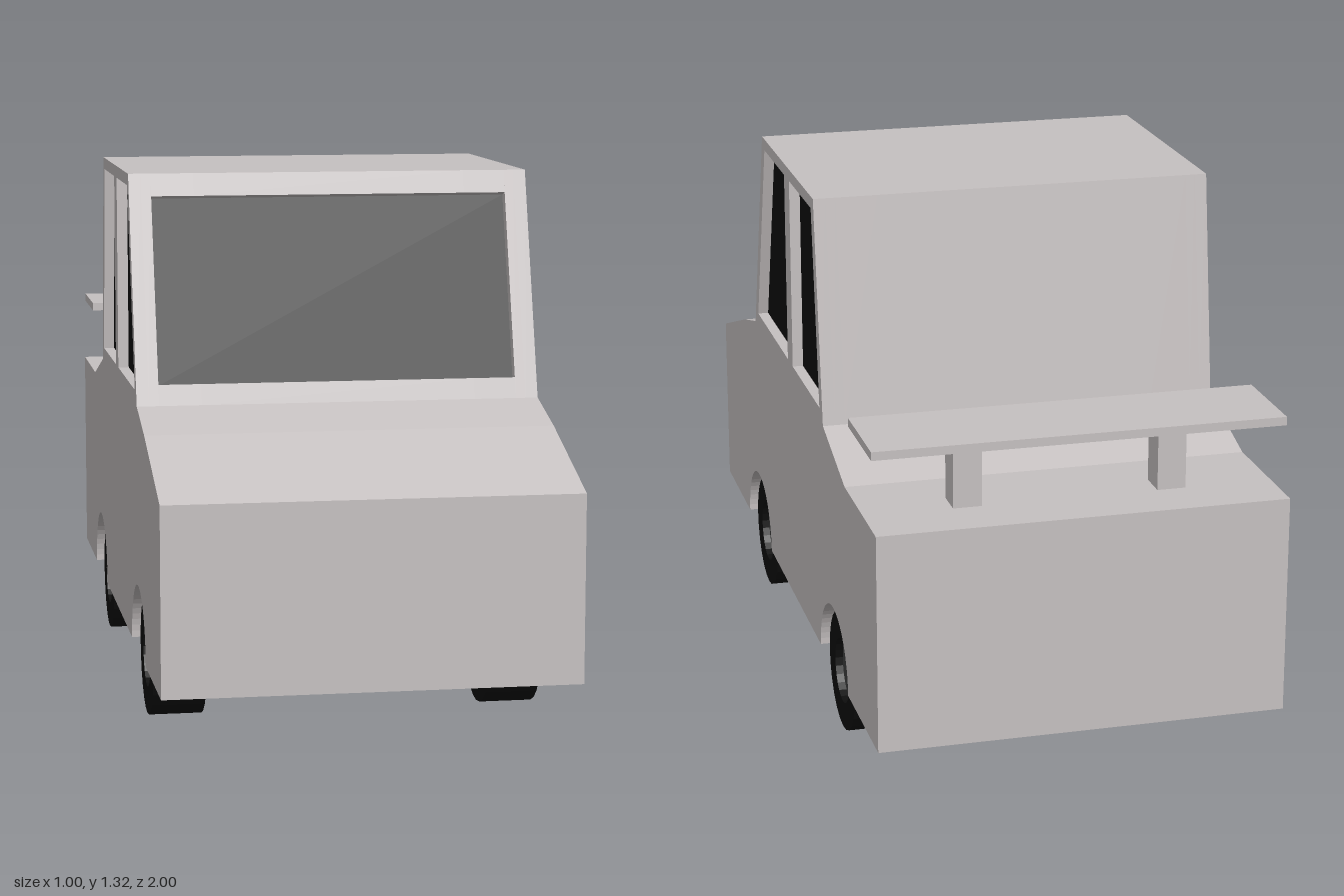
import * as THREE from 'three';

const mat = (name, color) => {
  const m = new THREE.MeshStandardMaterial({ color });
  m.name = name;
  return m;
};

export function createModel() {
  const paint = mat('body paint', 0xc6c1c1);
  const black = mat('glass and rubber black', 0x0e0e0e);
  const grey = mat('hub grey', 0x404040);
  const car = new THREE.Group();
  car.name = 'car';

  const add = (name, geometry, material, parent = car) => {
    const mesh = new THREE.Mesh(geometry, material);
    mesh.name = name;
    parent.add(mesh);
    return mesh;
  };

  // Extrudes a (z, y) outline across the car from x0 to x1
  const across = (shape, x0, x1) =>
    new THREE.ExtrudeGeometry(shape, { depth: x1 - x0, bevelEnabled: false, curveSegments: 16 })
      .rotateY(-Math.PI / 2).translate(x1, 0, 0);
  const outline = (points) => new THREE.Shape(points.map(([z, y]) => new THREE.Vector2(z, y)));

  // Side profile, optionally with the windscreen recess, wheel arches and window openings
  const screen = [[0.485, 0.815], [0.351, 1.265]];
  const recess = screen.map(([z, y]) => [z - 0.0288, y - 0.0086]);
  const windows = [
    [[0.455, 0.8], [0.305, 1.29], [0.035, 1.29], [0.035, 0.8]],
    [[-0.03, 0.8], [-0.03, 1.29], [-0.305, 1.29], [-0.37, 0.8]],
  ];
  const profile = ({ notch, arches, openings }) => {
    const cut = notch ? [screen[0], recess[0], recess[1], screen[1]] : [];
    const shape = outline([
      [1, 0.155], [1, 0.61], [0.67, 0.72], [0.5, 0.765], ...cut, [0.335, 1.32],
      [-0.335, 1.32], [-0.41, 0.765], [-0.66, 0.695], [-1, 0.695], [-1, 0.155],
    ]);
    if (arches) {
      for (const z of [-0.5, 0.5]) shape.absarc(z, 0.155, 0.165, Math.PI, 0, true);
    }
    if (openings) windows.forEach((w) => shape.holes.push(outline(w)));
    return shape;
  };

  // Body built in slabs from the centre outwards
  const body = new THREE.Group();
  body.name = 'body';
  car.add(body);
  add('bodyCore', across(profile({ notch: true }), -0.34, 0.34), paint, body);
  const layers = [
    ['wheelWellSlab', 0.34, 0.445, { notch: true, arches: true }],
    ['screenFrameSlab', 0.445, 0.47, { arches: true }],
    ['sidePanel', 0.47, 0.5, { arches: true, openings: true }],
  ];
  for (const [name, a, b, options] of layers) {
    add(name + 'Left', across(profile(options), a, b), paint, body);
    add(name + 'Right', across(profile(options), -b, -a), paint, body);
  }

  // Recessed glass
  const glass = [...recess, ...recess.map(([z, y]) => [z + 0.003, y + 0.001]).reverse()];
  add('windscreen', across(outline(glass), -0.445, 0.445), black);
  windows.forEach((w, i) => {
    const name = i ? 'rearWindow' : 'frontWindow';
    add(name + 'Left', across(outline(w), 0.469, 0.473), black);
    add(name + 'Right', across(outline(w), -0.473, -0.469), black);
  });

  // Wheels: lathed tyre with a sunken hub
  const tyre = new THREE.LatheGeometry(
    [[0, -0.065], [0.15, -0.065], [0.15, 0.065], [0.082, 0.065], [0.082, 0.045]]
      .map(([r, h]) => new THREE.Vector2(r, h)), 24).toNonIndexed();
  tyre.computeVertexNormals();
  const hub = new THREE.CylinderGeometry(0.083, 0.083, 0.02, 24).translate(0, 0.036, 0);
  for (const side of [1, -1]) {
    for (const z of [0.5, -0.5]) {
      const wheel = new THREE.Group();
      wheel.name = (z > 0 ? 'front' : 'rear') + (side > 0 ? 'Left' : 'Right') + 'Wheel';
      add('tyre', tyre, black, wheel);
      add('hub', hub, grey, wheel);
      wheel.rotation.z = -side * Math.PI / 2;
      wheel.position.set(side * 0.415, 0.15, z);
      car.add(wheel);
    }
  }

  // Rear spoiler on two posts
  add('spoilerBoard', new THREE.BoxGeometry(1, 0.021, 0.25), paint).position.set(0, 0.875, -0.835);
  for (const x of [-0.25, 0.25]) {
    add('spoilerPost', new THREE.BoxGeometry(0.07, 0.17, 0.075), paint).position.set(x, 0.78, -0.828);
  }
  return car;
}
